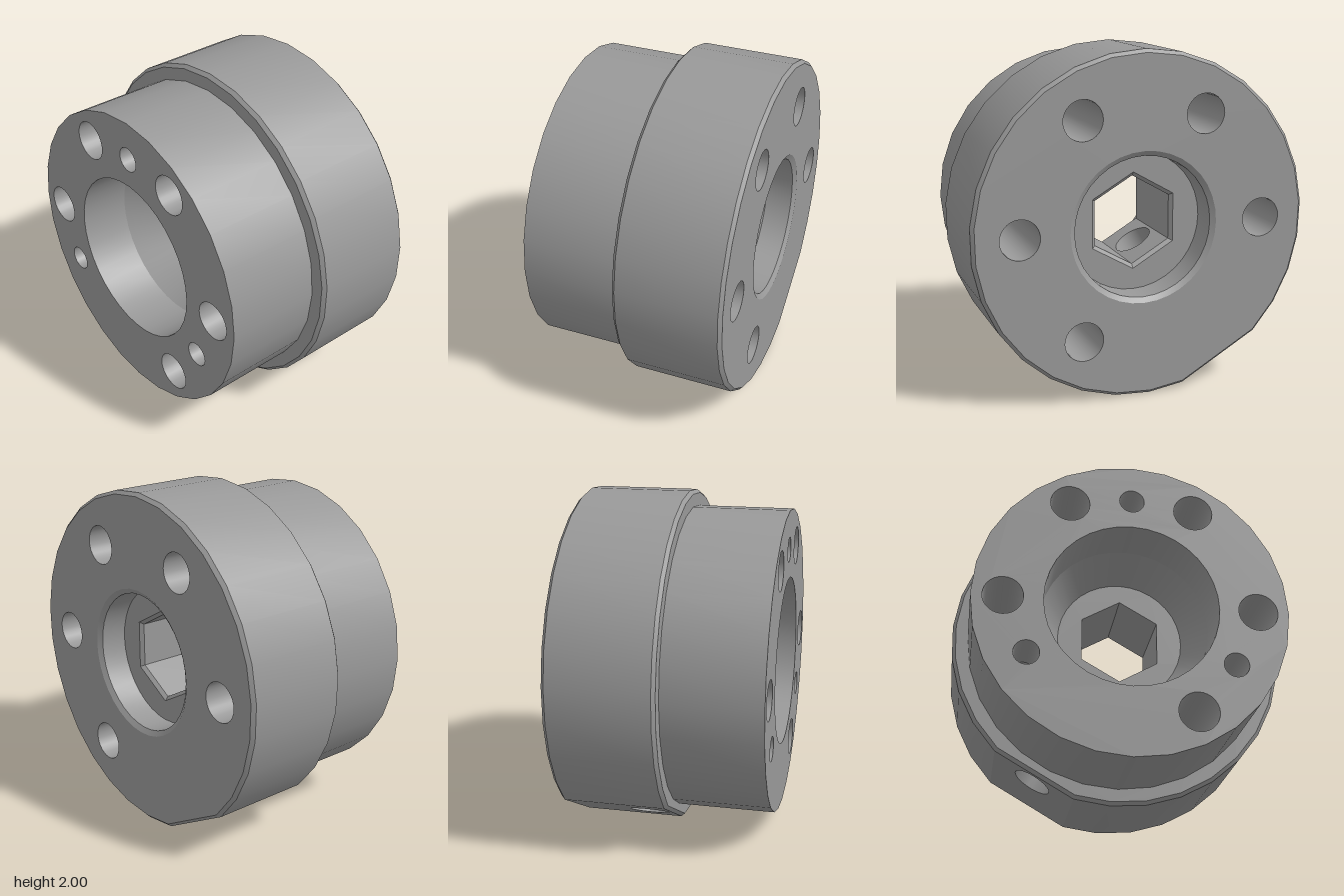
import * as THREE from 'three';
import { toCreasedNormals } from 'three/addons/utils/BufferGeometryUtils.js';

const RAD = Math.PI / 180;
const polar = (r, deg) => new THREE.Vector2(r * Math.cos(deg * RAD), r * Math.sin(deg * RAD));

// Counter-clockwise circle of points.
function circle(r, n, cx = 0, cy = 0, start = 90) {
  return Array.from({ length: n }, (_, i) => {
    const p = polar(r, start + (i * 360) / n);
    return new THREE.Vector2(p.x + cx, p.y + cy);
  });
}
const scaled = (pts, s) => pts.map((p) => p.clone().multiplyScalar(s));

// Wall through [points, z] rings: rising z faces outward, falling z faces inward.
function wall(rings, closed = true) {
  const pos = [];
  for (let k = 0; k + 1 < rings.length; k++) {
    const [A, za] = rings[k], [B, zb] = rings[k + 1], n = A.length;
    for (let i = 0; i < (closed ? n : n - 1); i++) {
      const j = (i + 1) % n;
      const a = [A[i].x, A[i].y, za], b = [A[j].x, A[j].y, za];
      const c = [B[j].x, B[j].y, zb], d = [B[i].x, B[i].y, zb];
      pos.push(...a, ...b, ...c, ...a, ...c, ...d);
    }
  }
  const g = new THREE.BufferGeometry();
  g.setAttribute('position', new THREE.Float32BufferAttribute(pos, 3));
  return toCreasedNormals(g, 0.35);
}

// Flat plate at height z with holes; flipped plates face -z.
function plate(outline, holes, z, flipped = false) {
  const shape = new THREE.Shape(outline);
  holes.forEach((h) => shape.holes.push(new THREE.Path(h)));
  const g = new THREE.ShapeGeometry(shape);
  g.translate(0, 0, z);
  if (flipped) {
    g.index.array.reverse();
    g.computeVertexNormals();
  }
  return g;
}
const rect = (w, y0, y1) => [[-w, y0], [w, y0], [w, y1], [-w, y1]].map((p) => new THREE.Vector2(...p));

export function createModel() {
  const metal = new THREE.MeshStandardMaterial({ color: 0x999999 });
  metal.name = 'grey metal';
  const model = new THREE.Group();
  model.name = 'hexBoreHub';
  const hub = new THREE.Group();
  hub.name = 'hub';
  hub.position.y = 1;
  model.add(hub);
  const add = (name, geometry, parent = hub) => {
    const m = new THREE.Mesh(geometry, metal);
    m.name = name;
    parent.add(m);
  };

  const back = -0.6, step = 0.03, front = 0.6, bevel = 0.02;
  const flatDir = 240, flatHalf = 15.4, flatDist = Math.cos(flatHalf * RAD);

  // Flange outline: 27 facets, closed by one wide flat at the lower right
  const arc = 360 - 2 * flatHalf;
  const flange = Array.from({ length: 28 }, (_, i) => polar(1, flatDir + flatHalf + (arc * i) / 27));
  const flangeIn = scaled(flange, 1 - bevel);
  const body = circle(0.905, 28);

  // Hexagon, ordered so that its open side faces the flat
  const hex = circle(0.263, 6, 0, 0, 270);
  const hexWide = scaled(hex, 1.09);

  // Hole patterns
  const bolts = [0, 60, 120, 180, 300].map((a) => polar(0.726, a)).map((p) => circle(0.115, 28, p.x, p.y));
  const pinCentres = [90, 210, 330].map((a) => polar(0.675, a));
  const pinRing = (p, r) => circle(r, 24, p.x, p.y);
  const pins = pinCentres.map((p) => pinRing(p, 0.073));

  // Outside
  add('flangeRim', wall([[flange, back + bevel], [flange, step - bevel]], false));
  add('flangeBackChamfer', wall([[flangeIn, back], [flange, back + bevel]]));
  add('flangeFrontChamfer', wall([[flange, step - bevel], [flangeIn, step]]));
  add('flangeShoulder', plate(flangeIn, [body], step));
  add('frontBody', wall([[body, step], [body, front]]));

  // End faces
  const mouth = circle(0.5, 36), floorEdge = circle(0.375, 36);
  const rearMouth = circle(0.44, 36), rearBore = circle(0.41, 36);
  add('frontFace', plate(body, [mouth, ...bolts, ...pins], front));
  add('backFace', plate(flangeIn, [rearMouth, ...bolts], back, true));

  // Front recess with tapered bottom
  add('frontRecess', wall([[mouth, front], [mouth, 0.3], [floorEdge, 0.1]]));
  add('frontRecessFloor', plate(floorEdge, [hex], 0.1));

  // Back recess with chamfered mouth
  add('backRecess', wall([[rearBore, -0.42], [rearBore, -0.58], [rearMouth, back]]));
  add('backRecessFloor', plate(rearBore, [hexWide], -0.42, true));

  // Hexagonal bore
  add('hexBore', wall([[hex, 0.1], [hex, -0.4]], false));
  add('hexChamfer', wall([[hex, -0.4], [hexWide, -0.42]]));

  // Bolt holes and blind pin holes with drilled tips
  bolts.forEach((b) => add('boltHole', wall([[b, front], [b, back]])));
  pinCentres.forEach((p, i) => {
    add('pinHole', wall([[pins[i], front], [pins[i], 0.3]]));
    add('pinHoleTip', wall([[pins[i], 0.3], [pinRing(p, 0.0005), 0.257]]));
  });

  // Set screw side: local x along the flat, y along the axis, z outward
  const side = new THREE.Group();
  side.name = 'setScrewSide';
  const out = new THREE.Vector3(...polar(1, flatDir).toArray(), 0);
  const axis = new THREE.Vector3(0, 0, 1);
  const along = new THREE.Vector3().crossVectors(axis, out);
  side.quaternion.setFromRotationMatrix(new THREE.Matrix4().makeBasis(along, axis, out));
  hub.add(side);
  const screw = circle(0.115, 28, 0, -0.13);
  const hexDist = 0.263 * Math.cos(30 * RAD);
  add('flangeFlat', plate(rect(Math.sin(flatHalf * RAD), back + bevel, step - bevel), [screw], flatDist), side);
  add('hexBoreScrewWall', plate(rect(0.1315, -0.4, 0.1), [screw], hexDist, true), side);
  add('setScrewHole', wall([[screw, flatDist], [screw, hexDist]]), side);

  return model;
}
